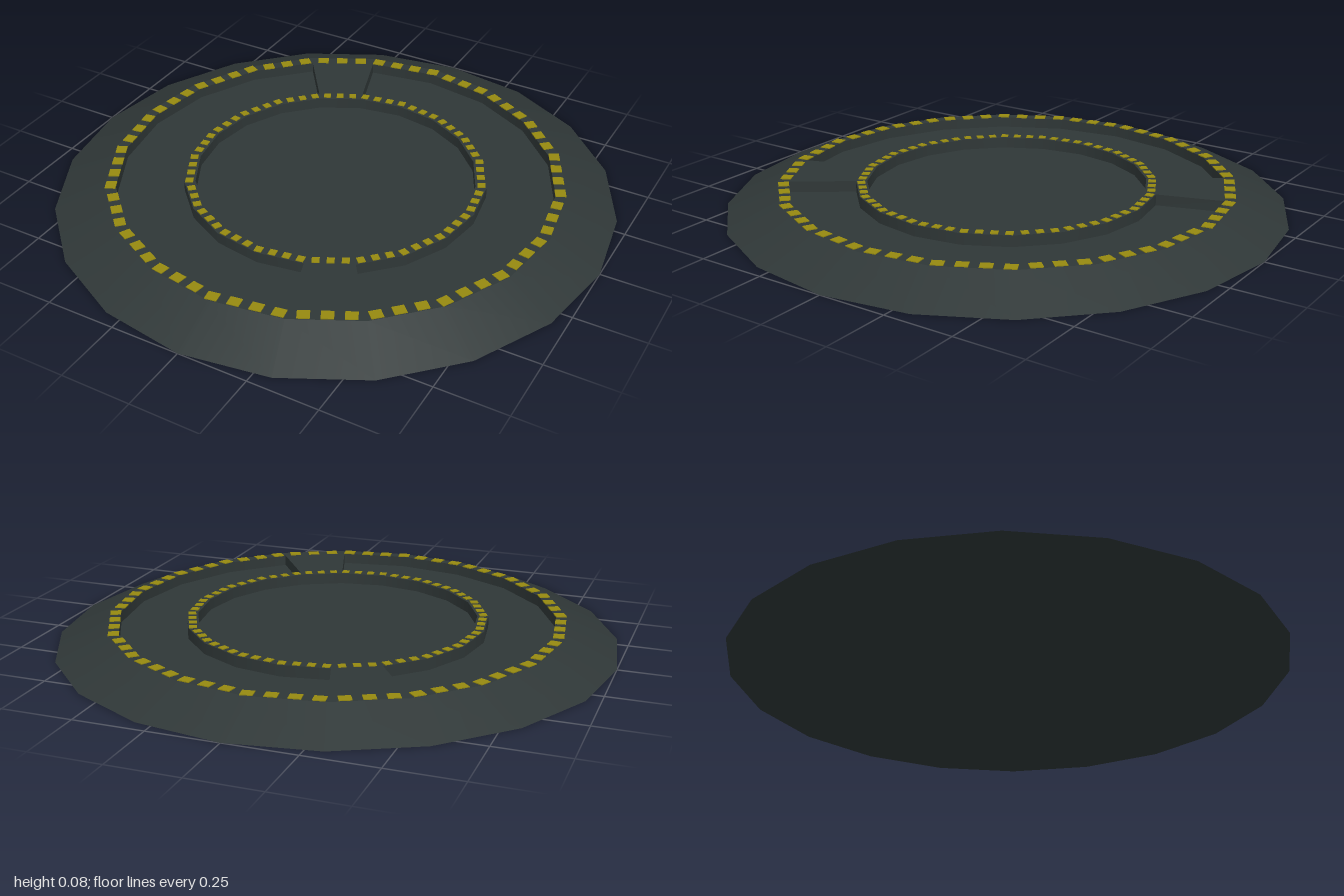
import * as THREE from 'three';

const SIDES = 20, STEP = (Math.PI * 2) / SIDES;
const TOP = 0.08, FLOOR = 0.04;
const R = { base: 1, rim: 0.82, trenchOut: 0.78, trenchIn: 0.54, pit: 0.5 };

export function createModel() {
  const model = new THREE.Group();
  const stone = new THREE.MeshStandardMaterial({ color: 0x2f3737 });
  stone.name = 'darkStone';
  const yellow = new THREE.MeshStandardMaterial({ color: 0x968a10 });
  yellow.name = 'yellowMarking';

  function add(name, geometry, material, parent = model) {
    const mesh = new THREE.Mesh(geometry, material);
    mesh.name = name;
    parent.add(mesh);
    return mesh;
  }

  // One polygonal band swept between two profile points, over part of the ring
  function band(name, r0, y0, r1, y1, first = 0, count = SIDES, parent = model) {
    const pts = [new THREE.Vector2(r0, y0), new THREE.Vector2(r1, y1)];
    return add(name, new THREE.LatheGeometry(pts, count, first * STEP, count * STEP), stone, parent);
  }

  // Platform body, from the underside over the rim to the central pit
  band('underside', 0, 0, R.base, 0);
  band('slopedRim', R.base, 0, R.rim, TOP);
  band('outerRing', R.rim, TOP, R.trenchOut, TOP);
  band('innerRing', R.trenchIn, TOP, R.pit, TOP);
  band('pitWall', R.pit, TOP, R.pit, FLOOR);
  band('pitFloor', R.pit, FLOOR, 0, FLOOR);

  // Two half-ring trenches separated by two bridges, each one side wide
  const depth = TOP - FLOOR, width = R.trenchOut - R.trenchIn;
  const mid = (R.trenchOut + R.trenchIn) / 2;
  for (const bridge of [1, 11]) {
    band('bridge', R.trenchOut, TOP, R.trenchIn, TOP, bridge, 1);

    const trench = new THREE.Group();
    trench.name = 'trench';
    model.add(trench);
    const start = bridge + 1, count = SIDES / 2 - 1;
    band('trenchOuterWall', R.trenchOut, TOP, R.trenchOut, FLOOR, start, count, trench);
    band('trenchFloor', R.trenchOut, FLOOR, R.trenchIn, FLOOR, start, count, trench);
    band('trenchInnerWall', R.trenchIn, FLOOR, R.trenchIn, TOP, start, count, trench);
    for (const [side, dir] of [[start, 1], [start + count, -1]]) {
      const face = new THREE.PlaneGeometry(width, depth);
      face.translate(-dir * mid, (TOP + FLOOR) / 2, 0);
      face.rotateY(side * STEP + dir * Math.PI / 2);
      add('bridgeSide', face, stone, trench);
    }
  }

  // Dashed markings that follow the straight sides of each ring
  function dashes(name, radius, length, breadth, count) {
    const ring = new THREE.Group();
    ring.name = name;
    model.add(ring);
    const plate = new THREE.BoxGeometry(length, 0.004, breadth);
    for (let i = 0; i < count; i++) {
      const angle = (i / count) * Math.PI * 2;
      const middle = (Math.floor(angle / STEP) + 0.5) * STEP;
      const r = radius * Math.cos(STEP / 2) / Math.cos(angle - middle);
      const dash = add('dash', plate, yellow, ring);
      dash.position.set(r * Math.sin(angle), TOP + 0.001, r * Math.cos(angle));
      dash.rotation.y = middle;
    }
  }
  dashes('outerMarkings', 0.798, 0.042, 0.038, 66);
  dashes('innerMarkings', 0.522, 0.026, 0.028, 66);

  return model;
}
